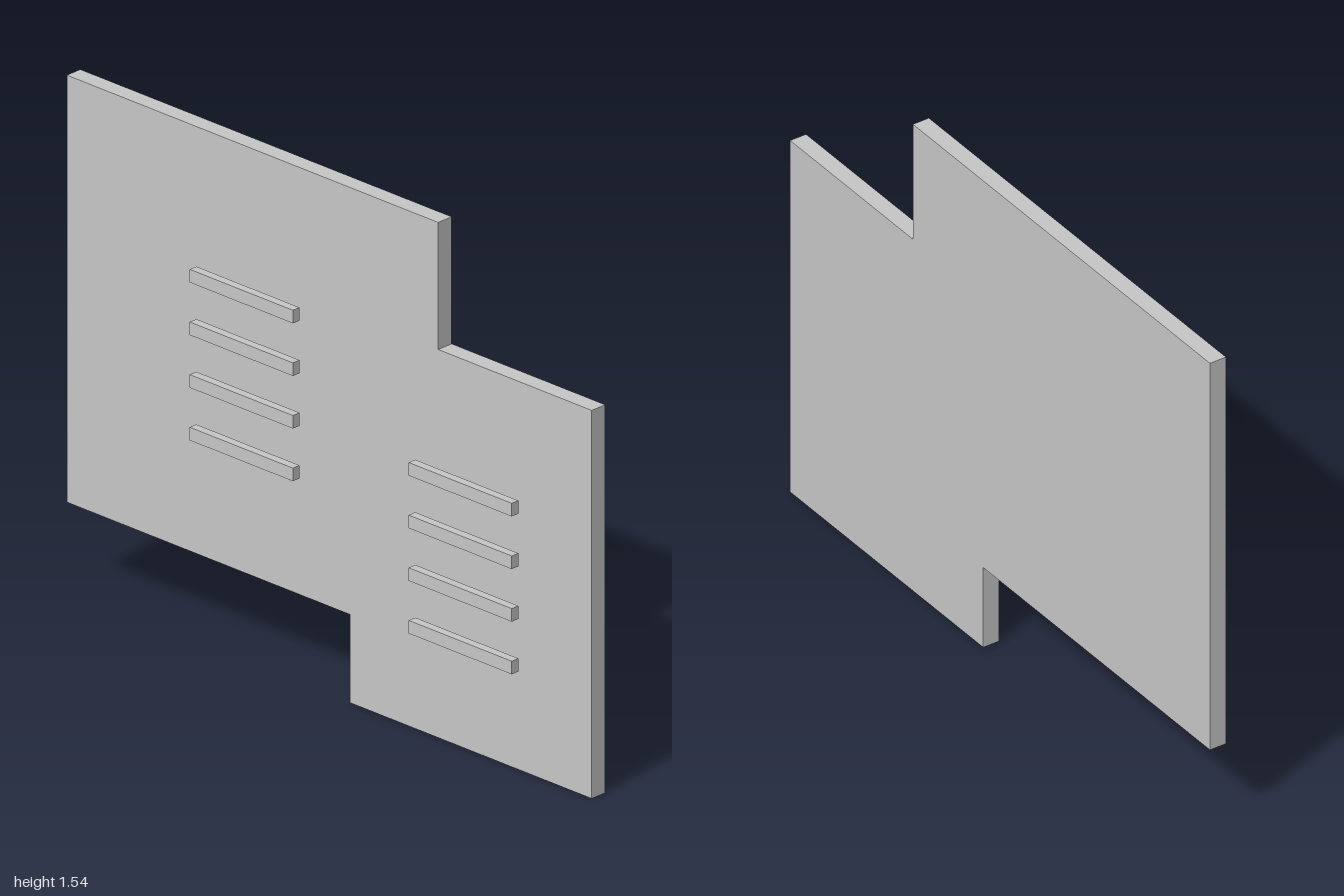
import * as THREE from 'three';

export function createModel() {
  const group = new THREE.Group();
  const grey = new THREE.MeshStandardMaterial({ color: 0xc7c7c7 });
  grey.name = 'lightGrey';

  // Stepped panel: two overlapping rectangles as one outline
  const outline = new THREE.Shape([
    [-1, 0.263], [0.08, 0.263], [0.08, 0], [1, 0],
    [1, 1.158], [0.415, 1.158], [0.415, 1.537], [-1, 1.537],
  ].map(([x, y]) => new THREE.Vector2(x, y)));
  const depth = 0.053;
  const panelGeometry = new THREE.ExtrudeGeometry(outline, { depth, bevelEnabled: false });
  panelGeometry.translate(0, 0, -0.047);
  const panel = new THREE.Mesh(panelGeometry, grey);
  panel.name = 'panel';
  group.add(panel);

  // Two columns of four bars floating just in front of the panel
  const barGeometry = new THREE.BoxGeometry(0.393, 0.039, 0.026);
  const addColumn = (name, x, topY) => {
    const column = new THREE.Group();
    column.name = name;
    for (let i = 0; i < 4; i++) {
      const bar = new THREE.Mesh(barGeometry, grey);
      bar.name = 'bar';
      bar.position.set(x, topY - i * 0.157, 0.034);
      column.add(bar);
    }
    group.add(column);
  };
  addColumn('rightBars', -0.295, 1.109);
  addColumn('leftBars', 0.539, 0.792);

  return group;
}
